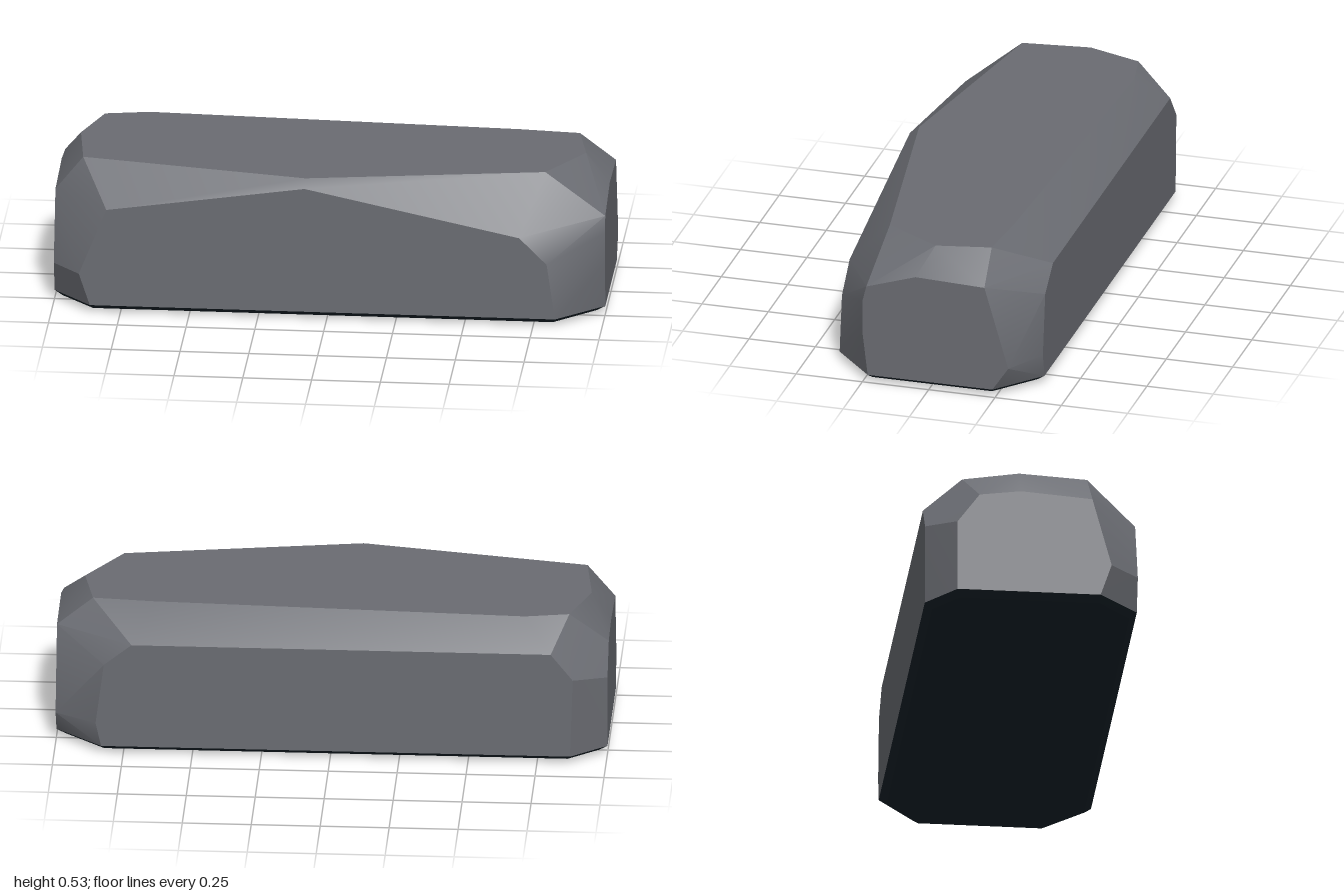
import * as THREE from 'three';
import { toCreasedNormals } from 'three/addons/utils/BufferGeometryUtils.js';
import { ConvexGeometry } from 'three/addons/geometries/ConvexGeometry.js';

const points = (list, place) => list.map(([a, b]) => new THREE.Vector3(...place(a, b)));

// Keep only the triangles facing down (or only the others)
function pickFaces(geometry, down) {
  const pos = geometry.attributes.position;
  const tri = new THREE.Triangle();
  const normal = new THREE.Vector3();
  const kept = [];
  for (let i = 0; i < pos.count; i += 3) {
    tri.setFromAttributeAndIndices(pos, i, i + 1, i + 2);
    tri.getNormal(normal);
    if ((normal.y < -0.5) === down) kept.push(tri.a.clone(), tri.b.clone(), tri.c.clone());
  }
  return toCreasedNormals(new THREE.BufferGeometry().setFromPoints(kept), 0.4);
}

export function createModel() {
  const stone = new THREE.MeshStandardMaterial({ color: 0x6a6c72 });
  stone.name = 'grey stone';
  const dark = new THREE.MeshStandardMaterial({ color: 0x17232a });
  dark.name = 'dark underside';

  // Worn outline of each side; the chamfers come from the hull between them
  const front = points([
    [-0.86, 0.03], [-0.9, 0.15], [-0.8, 0.4], [-0.08, 0.505],
    [0.4, 0.37], [0.7, 0.34], [0.8, 0.24], [0.83, 0.03],
  ], (x, y) => [x, y, 0.385]);
  const back = points([
    [-0.87, 0.03], [-0.88, 0.33], [-0.8, 0.43], [0.72, 0.43], [0.82, 0.35], [0.85, 0.12], [0.83, 0.03],
  ], (x, y) => [x, y, -0.387]);
  const top = points([
    [-0.9, 0.2], [-0.5, 0.265], [-0.08, 0.35], [0.78, 0.21], [0.91, 0],
    [0.87, -0.2], [0.65, -0.22], [-0.7, -0.28], [-0.86, -0.25], [-0.93, -0.05],
  ], (x, z) => [x, 0.533, z]);
  const leftEnd = points([
    [0.23, 0.03], [0.25, 0.2], [0.25, 0.32], [0.235, 0.38], [0.05, 0.44],
    [-0.21, 0.43], [-0.25, 0.25], [-0.3, 0.12], [-0.24, 0.03],
  ], (z, y) => [1, y, z]);
  const rightEnd = points([
    [0.24, 0.03], [0.28, 0.15], [0.21, 0.41], [-0.05, 0.43], [-0.2, 0.41], [-0.28, 0.3], [-0.28, 0.03],
  ], (z, y) => [-1, y, z]);

  // Slightly rounded foot below the sides
  const rim = points([
    [-0.97, 0.24], [-0.85, 0.36], [0.82, 0.36], [0.97, 0.22],
    [0.97, -0.23], [0.82, -0.36], [-0.86, -0.36], [-0.97, -0.27],
  ], (x, z) => [x, 0.01, z]);
  const foot = points([
    [-0.8, 0.2], [0.8, 0.2], [0.8, -0.2], [-0.8, -0.2],
  ], (x, z) => [x, 0, z]);

  const hull = new ConvexGeometry([...front, ...back, ...top, ...leftEnd, ...rightEnd, ...rim, ...foot]);

  const group = new THREE.Group();
  group.name = 'stoneBlock';
  for (const [name, down, material] of [['stoneBody', false, stone], ['underside', true, dark]]) {
    const mesh = new THREE.Mesh(pickFaces(hull, down), material);
    mesh.name = name;
    group.add(mesh);
  }
  return group;
}
